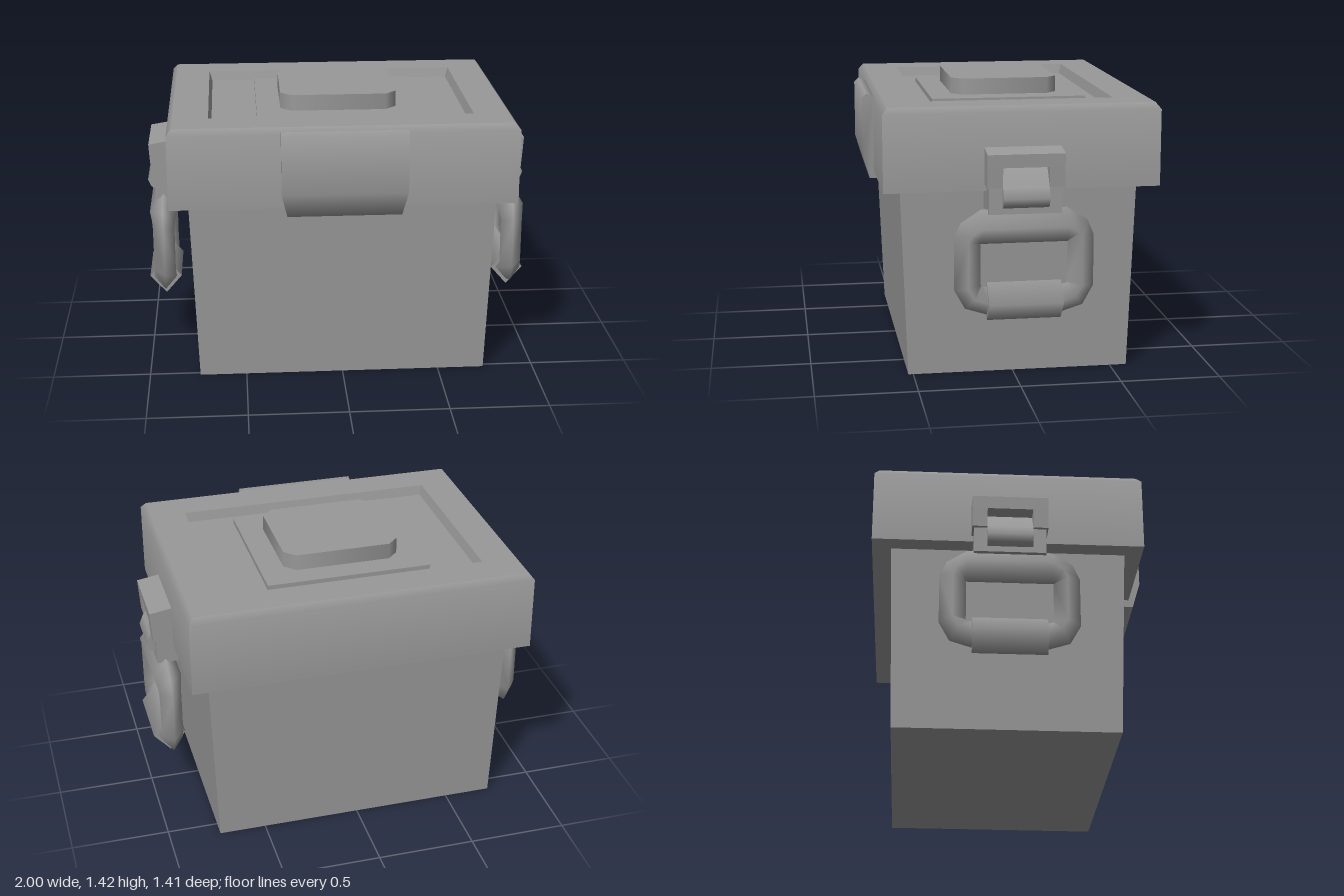
import * as THREE from 'three';

const material = new THREE.MeshStandardMaterial({ color: 0x999999 });

// Unindexed geometry with angle-weighted normals, smooth wherever faces meet below the crease angle
function creasedGeometry(points, triangles, crease) {
  const v = points.map((p) => new THREE.Vector3(...p));
  const around = points.map(() => []);
  const faceNormals = triangles.map(([a, b, c]) => new THREE.Triangle(v[a], v[b], v[c]).getNormal(new THREE.Vector3()));
  triangles.forEach((t, f) => t.forEach((a, i) => {
    const e1 = v[t[(i + 1) % 3]].clone().sub(v[a]), e2 = v[t[(i + 2) % 3]].clone().sub(v[a]);
    around[a].push({ normal: faceNormals[f], weight: e1.angleTo(e2) });
  }));
  const position = [], normal = [];
  triangles.forEach((t, f) => t.forEach((a) => {
    const sum = new THREE.Vector3();
    for (const face of around[a]) {
      if (face.normal.angleTo(faceNormals[f]) <= crease) sum.addScaledVector(face.normal, face.weight);
    }
    position.push(...points[a]);
    normal.push(...sum.normalize().toArray());
  }));
  const geo = new THREE.BufferGeometry();
  geo.setAttribute('position', new THREE.Float32BufferAttribute(position, 3));
  geo.setAttribute('normal', new THREE.Float32BufferAttribute(normal, 3));
  return geo;
}

// Skins a row of equal-length rings of [x, y, z]; ends get hard-edged caps unless the row is closed
function loft(name, rings, { closed = false, crease = 0.8 } = {}) {
  const n = rings[0].length, count = rings.length;
  const pos = rings.flat(), triangles = [];
  const spans = closed ? count : count - 1;
  for (let i = 0; i < spans; i++) {
    for (let j = 0; j < n; j++) {
      const k = (j + 1) % n, m = (i + 1) % count;
      const a = i * n + j, b = i * n + k, c = m * n + k, d = m * n + j;
      triangles.push([a, b, c], [a, c, d]);
    }
  }
  if (!closed) {
    for (const [ring, flip] of [[rings[0], true], [rings[count - 1], false]]) {
      const base = pos.length;
      pos.push(...ring);
      for (let j = 1; j < n - 1; j++) {
        triangles.push(flip ? [base, base + j + 1, base + j] : [base, base + j, base + j + 1]);
      }
    }
  }
  // Turn the faces outward if the rings run the other way
  const v = pos.map((p) => new THREE.Vector3(...p));
  let volume = 0;
  for (const [a, b, c] of triangles) volume += v[a].dot(v[b].clone().cross(v[c]));
  if (volume < 0) triangles.forEach((t) => t.reverse());

  const mesh = new THREE.Mesh(creasedGeometry(pos, triangles, crease), material);
  mesh.name = name;
  return mesh;
}

// Horizontal rectangle
function rect(y, hx, z0, z1) {
  return [[hx, y, z0], [hx, y, z1], [-hx, y, z1], [-hx, y, z0]];
}

// Horizontal rectangle with cut corners
function cutRect(y, hx, z0, z1, cut) {
  return [
    [hx, y, z0 + cut], [hx, y, z1 - cut], [hx - cut, y, z1], [cut - hx, y, z1],
    [-hx, y, z1 - cut], [-hx, y, z0 + cut], [cut - hx, y, z0], [hx - cut, y, z0],
  ];
}

// Side profile of [x, y] points, mirrored by s and stretched from z0 to z1
function prism(name, s, profile, z0, z1) {
  return loft(name, [z0, z1].map((z) => profile.map(([x, y]) => [s * x, y, z])));
}

// Latch and carrying ring for one side (s = 1 left, -1 right)
function sideFittings(s) {
  const side = s > 0 ? 'left' : 'right';
  const latch = new THREE.Group();
  latch.name = side + 'Latch';
  latch.add(
    prism('latchTopBar', s, [[0.86, 1.165], [0.982, 1.145], [0.978, 1.08], [0.86, 1.08]], -0.215, 0.16),
    prism('latchPlate', s, [[0.76, 0.982], [0.955, 0.982], [0.955, 0.85], [0.76, 0.85]], -0.205, 0.15),
    prism('latchHook', s, [[0.86, 1.078], [0.9, 1.078], [0.975, 0.98], [0.995, 0.93],
      [0.98, 0.895], [0.955, 0.88], [0.86, 0.88]], -0.14, 0.085),
  );
  for (const [z0, z1] of [[-0.215, -0.14], [0.085, 0.16]]) {
    latch.add(prism('latchLeg', s, [[0.86, 1.08], [0.978, 1.08], [0.971, 0.982], [0.86, 0.982]], z0, z1));
  }

  // Ring stations over half the loop: inner z, inner y, outer z, outer y
  const cx = 0.915, cz = -0.0275;
  const half = [
    [0.21, 0.70, 0.21, 0.87], [0.2125, 0.70, 0.31, 0.805], [0.2125, 0.70, 0.3425, 0.73],
    [0.2125, 0.50, 0.3425, 0.475], [0.205, 0.49, 0.29, 0.38], [0.18, 0.485, 0.18, 0.345],
  ];
  const mirrored = half.map(([a, b, c, d]) => [-a, b, -c, d]).reverse();
  const stations = [...half, ...mirrored].map(([iz, iy, oz, oy]) => {
    const w = Math.hypot(oz - iz, oy - iy) * 0.42;
    const mz = cz + (iz + oz) / 2, my = (iy + oy) / 2;
    return [[s * cx, iy, cz + iz], [s * (cx + w), my, mz], [s * cx, oy, cz + oz], [s * (cx - w), my, mz]];
  });
  const handle = new THREE.Group();
  handle.name = side + 'Handle';
  handle.add(loft('handleRing', stations, { closed: true, crease: Math.PI }));
  // Grip sleeve around the lower bar
  const grip = [-0.21, 0.155].map((z) => [
    [s * cx, 0.508, z], [s * (cx + 0.085), 0.413, z], [s * cx, 0.318, z], [s * (cx - 0.082), 0.413, z],
  ]);
  handle.add(loft('handleGrip', grip, { crease: Math.PI }));
  return [latch, handle];
}

export function createModel() {
  const model = new THREE.Group();
  model.name = 'storageBox';

  // Tapered body
  model.add(loft('body', [rect(0, 0.74, -0.585, 0.525), rect(0.96, 0.775, -0.612, 0.56)]));

  // Lid with chamfered rim and sunken top
  model.add(loft('lid', [
    rect(0.95, 0.87, -0.707, 0.647),
    rect(1.328, 0.87, -0.707, 0.647),
    rect(1.36, 0.845, -0.682, 0.622),
    rect(1.36, 0.665, -0.51, 0.443),
    rect(1.31, 0.65, -0.495, 0.43),
  ]));
  model.add(loft('lidPanel', [rect(1.30, 0.42, -0.425, 0.36), rect(1.335, 0.42, -0.425, 0.36)]));
  model.add(loft('lidKnob', [1.33, 1.417].map((y) => cutRect(y, 0.297, -0.302, 0.242, 0.055))));

  // Front clasp, narrowing at its lower end: z, y, half width
  const clasp = [
    [0.645, 1.338, 0.313], [0.683, 1.352, 0.313], [0.705, 1.33, 0.313], [0.705, 1.035, 0.313],
    [0.67, 0.912, 0.285], [0.56, 0.912, 0.285], [0.56, 1.035, 0.313],
  ];
  model.add(loft('frontClasp', [-1, 1].map((s) => clasp.map(([z, y, w]) => [s * w, y, z])), { crease: 1.3 }));

  for (const s of [1, -1]) model.add(...sideFittings(s));
  return model;
}
